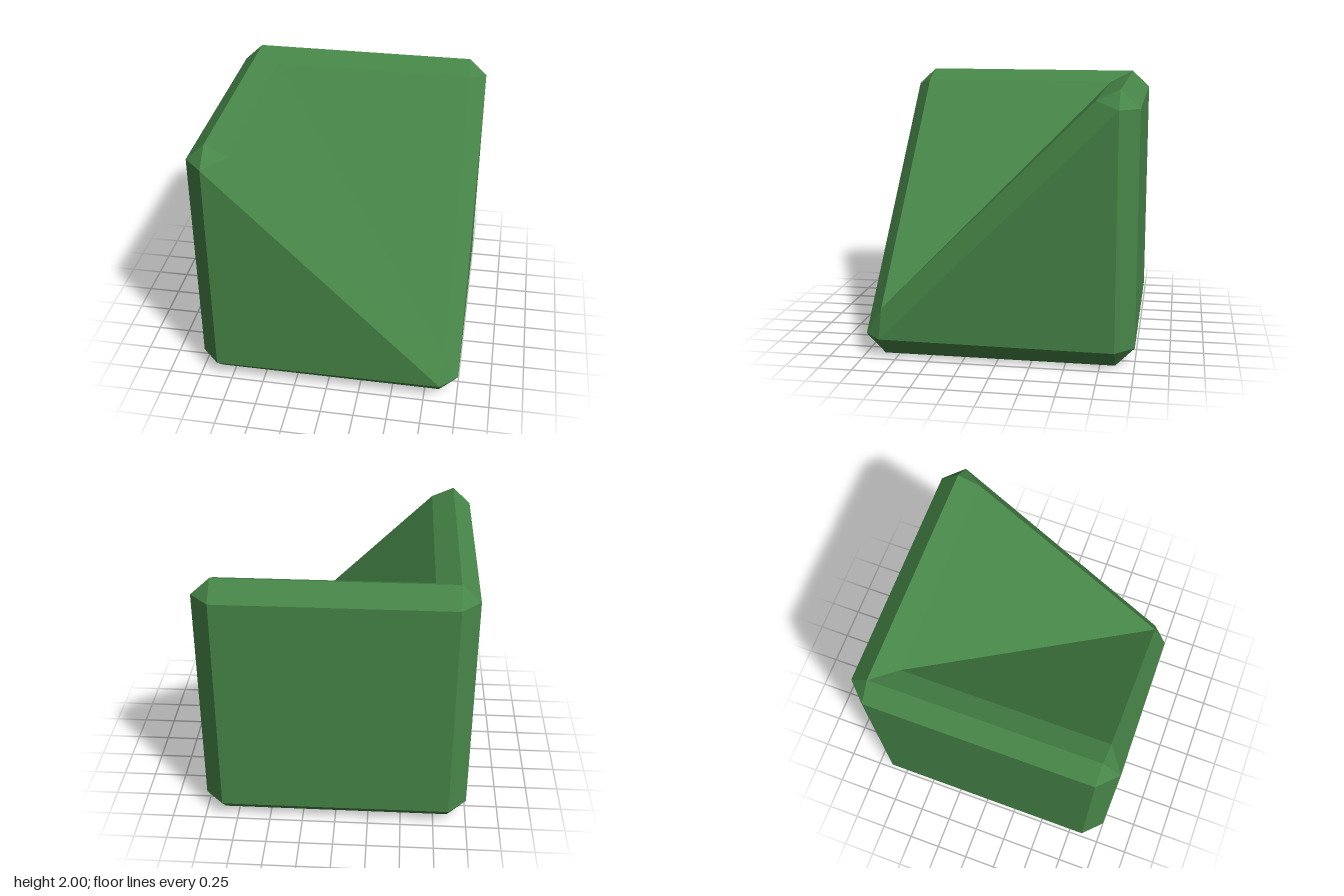
import * as THREE from 'three';

export function createModel() {
  const group = new THREE.Group();
  const green = new THREE.MeshStandardMaterial({ color: 0x478648 });
  green.name = 'leafGreen';

  // The block is symmetric about the plane x = z: mirroring swaps x and z.
  const p = (x, y, z) => [x, y, z];
  const mirror = ([x, y, z]) => [z, y, x];
  const e = 0.86;   // inner limit of the bevels
  const lo = 0.14;  // top of the bottom bevel
  const hi = 1.87;  // foot of the top bevel

  // Front face corners
  const frontTop = p(-e, hi, 1), frontLow = p(-e, lo, 1), frontTip = p(0.87, 0.15, 1);
  // Left wall corners
  const wallFrontTop = p(-1, hi, e), wallFrontLow = p(-1, lo, e);
  const wallBackLow = p(-1, lo, -e), wallBackTop = p(-1, hi, -e);
  // Base corners
  const baseBack = p(-e, 0, -e), baseFront = p(-e, 0, e), baseTip = p(e, 0, e);
  // Ridge and ramp corners
  const ridgeBack = p(-e, 2, -e), ridgeFront = p(-e, 2, e);
  const rampBack = p(-0.69, 1.92, -0.69), rampFront = p(-0.69, 1.92, 0.87);
  const valley = p(0.88, 0.35, 0.88);

  // Faces of one half, counter-clockwise from outside
  const half = [
    [frontLow, frontTip, frontTop],                            // triangular side
    [wallBackLow, wallFrontLow, wallFrontTop, wallBackTop],    // full wall
    [wallFrontLow, frontLow, frontTop, wallFrontTop],          // upright bevel
    [baseFront, baseTip, frontTip, frontLow],                  // base bevels
    [baseBack, baseFront, wallFrontLow, wallBackLow],
    [baseFront, frontLow, wallFrontLow],
    [wallBackTop, wallFrontTop, ridgeFront, ridgeBack],        // outer ridge bevel
    [wallFrontTop, frontTop, ridgeFront],
    [frontTop, rampFront, ridgeFront],
    [frontTop, frontTip, valley, rampFront],                   // sloping bevel
    [ridgeBack, ridgeFront, rampFront, rampBack],              // inner ridge bevel
    [rampBack, rampFront, valley],                             // ramp
  ];

  // Faces lying across the symmetry plane
  const shared = [
    [baseFront, baseBack, mirror(baseFront), baseTip],
    [frontTip, mirror(frontTip), valley],
    [baseTip, mirror(frontTip), frontTip],
    [mirror(wallBackLow), wallBackLow, wallBackTop, mirror(wallBackTop)],
    [mirror(wallBackTop), wallBackTop, ridgeBack],
    [baseBack, wallBackLow, mirror(wallBackLow)],
  ];

  const mirrored = half.map((face) => face.map(mirror).reverse());

  // Fan each face into triangles with its own flat normal
  const positions = [];
  for (const face of [...half, ...mirrored, ...shared]) {
    for (let i = 1; i < face.length - 1; i++) {
      positions.push(...face[0], ...face[i], ...face[i + 1]);
    }
  }
  const geometry = new THREE.BufferGeometry();
  geometry.setAttribute('position', new THREE.Float32BufferAttribute(positions, 3));
  geometry.computeVertexNormals();

  const block = new THREE.Mesh(geometry, green);
  block.name = 'innerCornerSlopeBlock';
  group.add(block);
  return group;
}
